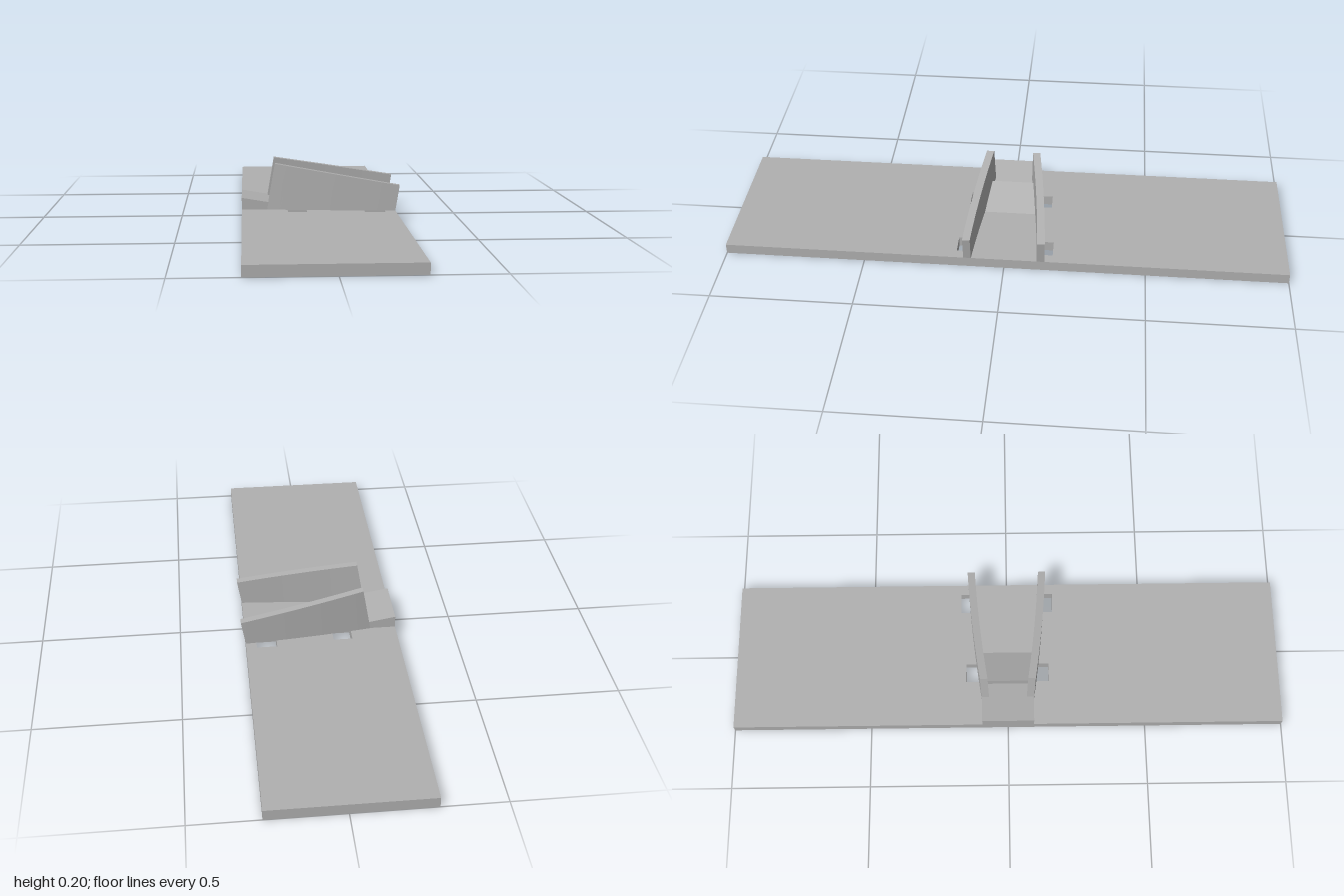
import * as THREE from 'three';

const grey = new THREE.MeshStandardMaterial({ color: 0xb0b0b0 });
grey.name = 'plain grey';

const PLATE_TOP = 0.037, BACK = -0.282, FRONT = 0.266;
const SLOTS = [
  { x0: -0.118, x1: -0.05, z: 0.152, bridge: 0.1 },
  { x0: 0.155, x1: 0.228, z: 0.171, bridge: 0.128 },
];

function add(group, name, geometry) {
  const mesh = new THREE.Mesh(geometry, grey);
  mesh.name = name;
  group.add(mesh);
  return mesh;
}

function polygon(points) {
  return new THREE.Shape(points.map(([x, y]) => new THREE.Vector2(x, y)));
}

function rectangle(x0, x1, z) {
  return [[x0, -z], [x1, -z], [x1, z], [x0, z]];
}

// Side profile extruded symmetrically across z
function slab(points, halfWidth) {
  const g = new THREE.ExtrudeGeometry(polygon(points), { depth: 2 * halfWidth, bevelEnabled: false });
  return g.translate(0, 0, -halfWidth);
}

// Upright wall: a subdivided box tilted at the ends and bowed in plan
function wallGeometry(side) {
  const g = new THREE.BoxGeometry(1, 1, 1, 20, 1, 1);
  const p = g.attributes.position;
  const lerp = THREE.MathUtils.lerp;
  for (let i = 0; i < p.count; i++) {
    const u = p.getX(i) + 0.5, v = p.getY(i) + 0.5;
    const x = lerp(lerp(-0.191, FRONT, u), lerp(-0.162, 0.281, u), v);
    const y = lerp(PLATE_TOP, lerp(0.203, 0.128, u), v);
    const middle = 0.107 + 0.114 * x - 0.1 * x * x;
    p.setXYZ(i, x, y, side * middle + p.getZ(i) * 0.027);
  }
  g.computeVertexNormals();
  return g;
}

export function createModel() {
  const model = new THREE.Group();
  model.name = 'slottedMount';

  // Long base plate with two strap slots
  const outline = polygon(rectangle(BACK, FRONT, 1));
  for (const s of SLOTS) outline.holes.push(new THREE.Path(polygon(rectangle(s.x0, s.x1, s.z)).getPoints()));
  const plate = new THREE.ExtrudeGeometry(outline, { depth: PLATE_TOP, bevelEnabled: false });
  plate.rotateX(-Math.PI / 2);
  add(model, 'basePlate', plate);

  // Thin bridges roofing each slot between the walls
  for (const s of SLOTS) {
    const g = new THREE.BoxGeometry(s.x1 - s.x0, 0.01, 2 * s.bridge);
    g.translate((s.x0 + s.x1) / 2, PLATE_TOP - 0.005, 0);
    add(model, 'slotBridge', g);
  }

  // Sloping rear floor and the stop wedge in front of it
  add(model, 'rearFloor', slab([[BACK, PLATE_TOP], [-0.1, PLATE_TOP], [-0.1, 0.049], [BACK, 0.08]], 0.094));
  add(model, 'stopWedge', slab([[-0.132, PLATE_TOP], [-0.005, PLATE_TOP], [-0.132, 0.087]], 0.095));

  // Pair of curved side walls
  add(model, 'leftWall', wallGeometry(1));
  add(model, 'rightWall', wallGeometry(-1));

  return model;
}
